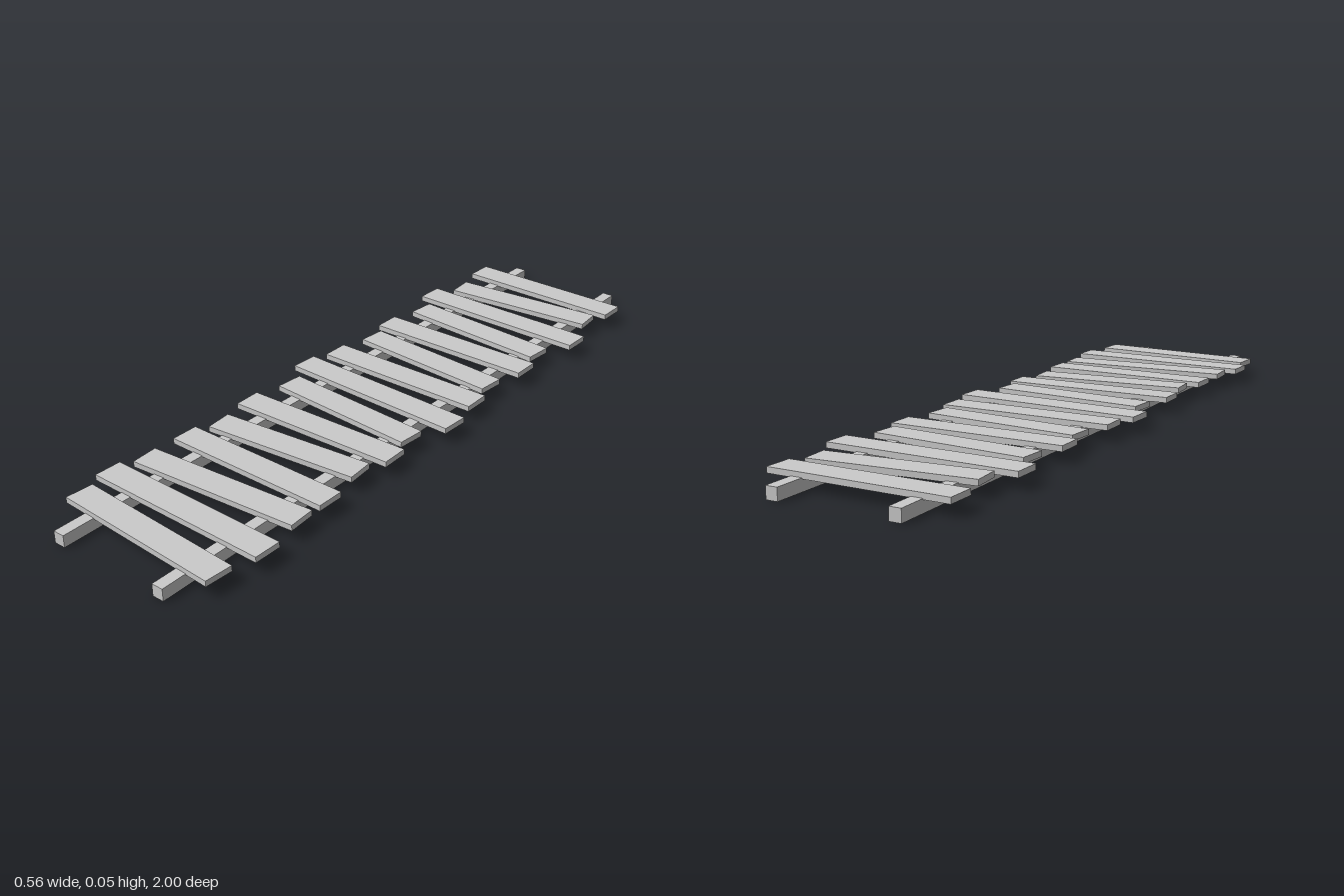
import * as THREE from 'three';

const material = new THREE.MeshStandardMaterial({ color: 0xcccccc, flatShading: true });
const shellMaterial = new THREE.MeshStandardMaterial({ color: 0xcccccc, flatShading: true, side: THREE.DoubleSide });

// Thin plank: a box left open on its underside
function plankGeometry(length) {
  const geometry = new THREE.BoxGeometry(length, 0.016, 0.08);
  const index = Array.from(geometry.index.array);
  index.splice(18, 6); // the -y face
  geometry.setIndex(index);
  geometry.clearGroups();
  return geometry;
}

export function createModel() {
  const model = new THREE.Group();
  model.name = 'plankWalkway';

  // Two long square beams
  for (const side of [1, -1]) {
    const beam = new THREE.Mesh(new THREE.BoxGeometry(0.033, 0.034, 2), material);
    beam.name = side > 0 ? 'leftBeam' : 'rightBeam';
    beam.position.set(side * 0.167, 0.017, 0);
    model.add(beam);
  }

  // Crooked planks from back to front: [size, turn]
  const geometries = {
    short: plankGeometry(0.461),
    medium: plankGeometry(0.51),
    long: plankGeometry(0.557),
  };
  const planks = [
    ['medium', -0.015], ['short', 0.08], ['long', -0.02], ['short', -0.08], ['medium', 0],
    ['short', -0.08], ['medium', 0], ['long', -0.045], ['short', -0.075], ['medium', 0.02],
    ['short', 0.085], ['medium', -0.012], ['medium', 0.065], ['long', -0.02], ['medium', -0.065],
  ];
  planks.forEach(([size, turn], i) => {
    const plank = new THREE.Mesh(geometries[size], shellMaterial);
    plank.name = `plank${i + 1}`;
    plank.position.set(-0.001, 0.039, (i - 7) * 0.125);
    plank.rotation.y = turn;
    model.add(plank);
  });

  return model;
}
